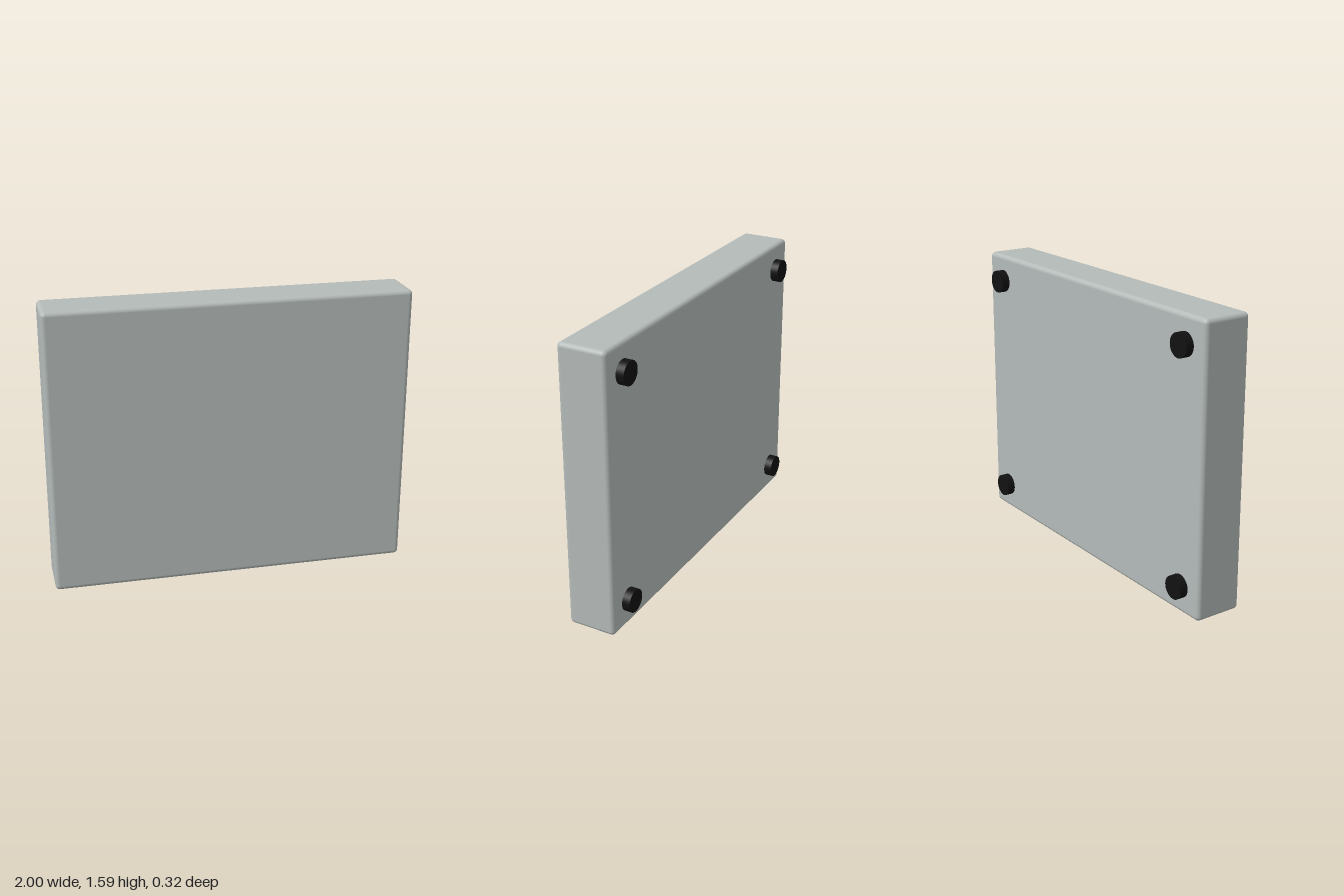
import * as THREE from 'three';
import { RoundedBoxGeometry } from 'three/addons/geometries/RoundedBoxGeometry.js';

const WIDTH = 2, HEIGHT = 1.59, FRONT = 0.16, BACK = -0.115;
const FOOT_RADIUS = 0.064, FOOT_END = -0.16;

export function createModel() {
  const model = new THREE.Group();
  model.name = 'enclosure';

  // Slab-shaped case with softly rounded edges
  const caseMaterial = new THREE.MeshStandardMaterial({ color: 0xb4bbb9 });
  const body = new THREE.Mesh(
    new RoundedBoxGeometry(WIDTH, HEIGHT, FRONT - BACK, 5, 0.025),
    caseMaterial
  );
  body.name = 'caseBody';
  body.position.set(0, HEIGHT / 2, (FRONT + BACK) / 2);
  model.add(body);

  // Four round rubber feet on the back, sunk slightly into the case
  const footMaterial = new THREE.MeshStandardMaterial({ color: 0x111111 });
  const footStart = BACK + 0.005;
  const footGeometry = new THREE.CylinderGeometry(FOOT_RADIUS, FOOT_RADIUS, footStart - FOOT_END, 40);
  footGeometry.rotateX(Math.PI / 2);
  for (const [side, x] of [['Left', 0.85], ['Right', -0.85]]) {
    for (const [level, y] of [['upper', 1.44], ['lower', 0.152]]) {
      const foot = new THREE.Mesh(footGeometry, footMaterial);
      foot.name = `${level}${side}Foot`;
      foot.position.set(x, y, (footStart + FOOT_END) / 2);
      model.add(foot);
    }
  }

  return model;
}
